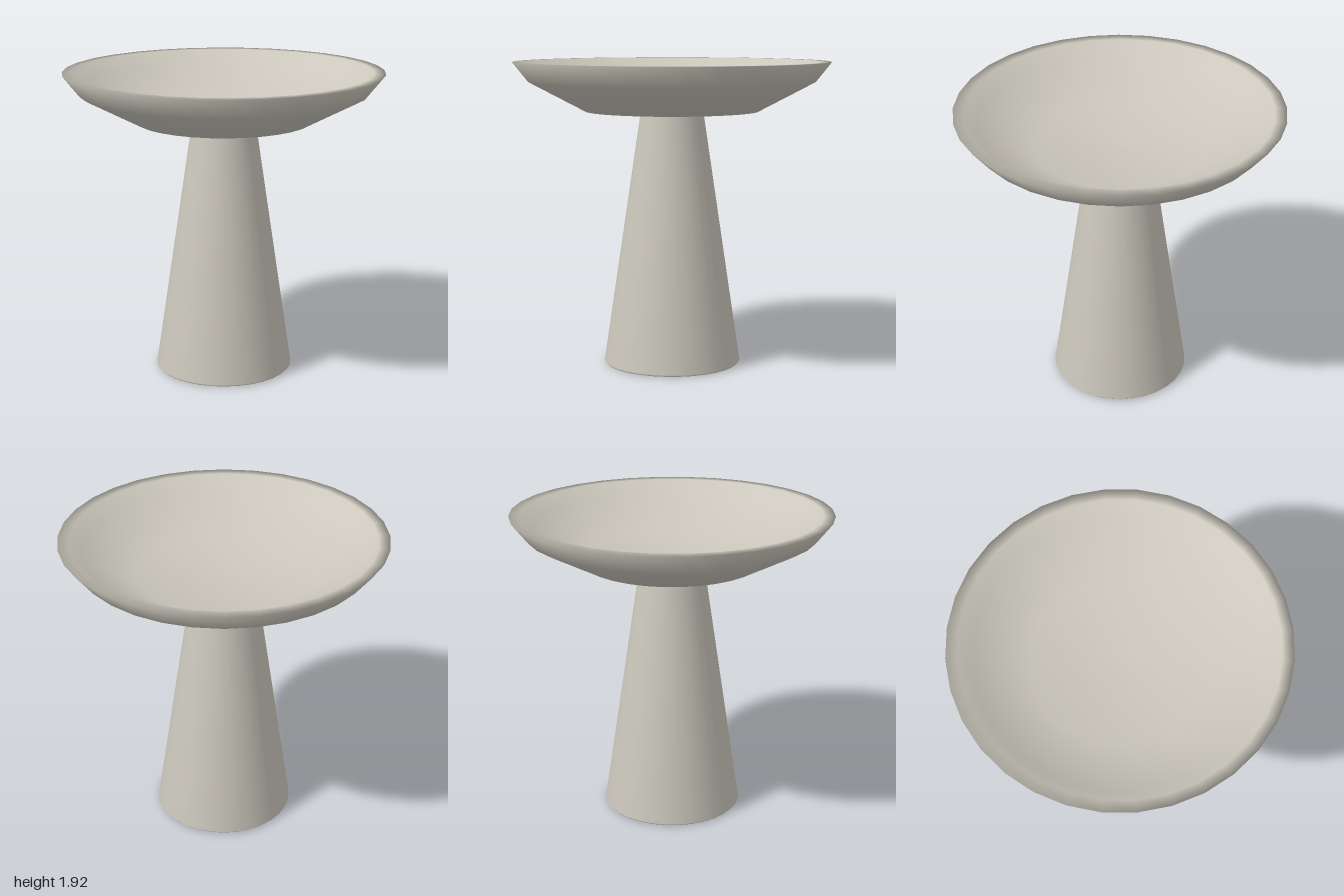
import * as THREE from 'three';

const SIDES = 32;

// Revolve a list of [radius, height] points; a repeated point makes a sharp edge
function revolve(name, profile, material) {
  const points = profile.map(([r, y]) => new THREE.Vector2(r, y));
  const mesh = new THREE.Mesh(new THREE.LatheGeometry(points, SIDES), material);
  mesh.name = name;
  return mesh;
}

export function createModel() {
  const group = new THREE.Group();
  group.name = 'pedestalDish';

  const stone = new THREE.MeshStandardMaterial({ color: 0xcbc7bc });
  stone.name = 'warm grey stone';

  // Tapered foot with small bevels and flat ends
  group.add(revolve('pedestal', [
    [0, 0], [0.425, 0], [0.425, 0],
    [0.436, 0.012], [0.202, 1.585],
    [0.19, 1.603], [0.19, 1.603], [0, 1.603],
  ], stone));

  // Shallow dish: underside, outer wall, flat lip, then the hollow
  group.add(revolve('dish', [
    [0, 1.6], [0.55, 1.613], [0.9, 1.797], [1, 1.922],
    [0.93, 1.922], [0.86, 1.846], [0.53, 1.675], [0, 1.662],
  ], stone));

  return group;
}
